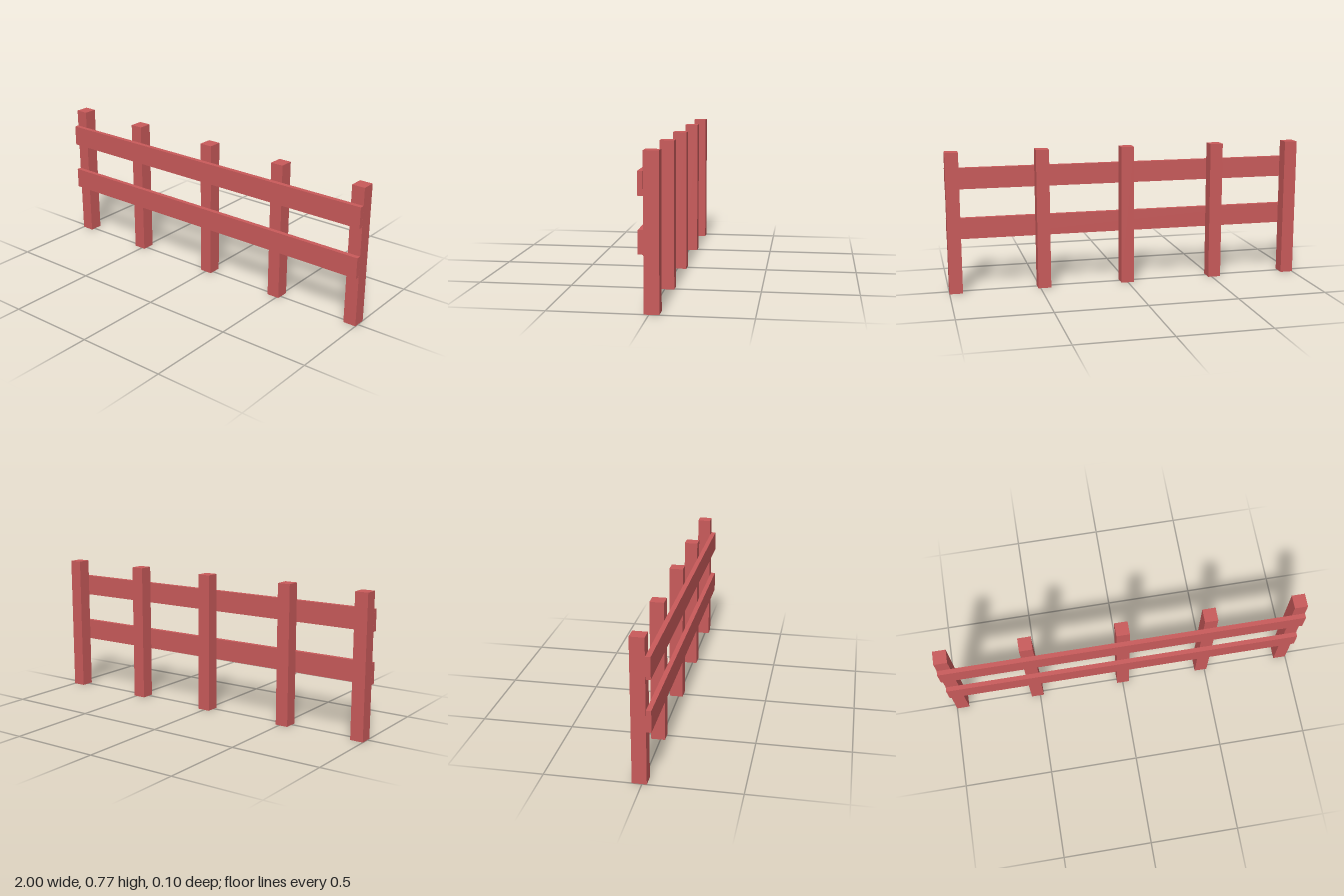
import * as THREE from 'three';

export function createModel() {
  const group = new THREE.Group();
  group.name = 'fence';
  const wood = new THREE.MeshStandardMaterial({ color: 0xc85a5a, flatShading: true });

  const addBox = (name, width, height, depth, x, y, z) => {
    const mesh = new THREE.Mesh(new THREE.BoxGeometry(width, height, depth), wood);
    mesh.name = name;
    mesh.position.set(x, y, z);
    group.add(mesh);
  };

  // Square posts, slightly unevenly spaced
  const postHeight = 0.775;
  [-0.964, -0.515, 0.002, 0.477, 0.964].forEach((x, i) =>
    addBox(`post${i + 1}`, 0.072, postHeight, 0.075, x, postHeight / 2, -0.013));

  // Flat rails fixed to the front of the posts
  addBox('lowerRail', 2, 0.116, 0.026, 0, 0.345, 0.038);
  addBox('upperRail', 2, 0.116, 0.026, 0, 0.622, 0.038);

  return group;
}
